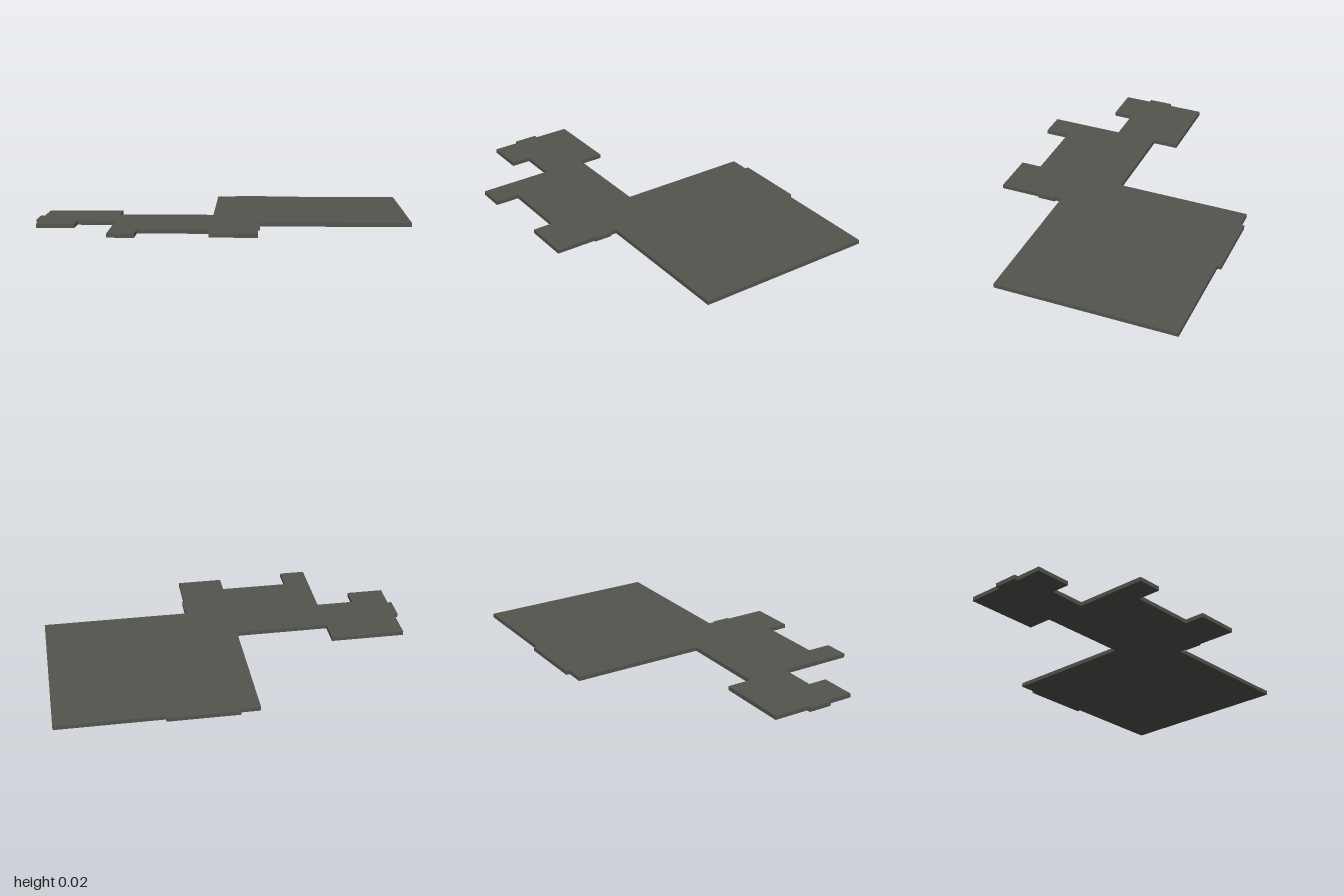
import * as THREE from 'three';

const THICKNESS = 0.022;

// Floor outline as [x, z] corners, walked around the slab from its back edge
const outline = [
  // large hall with a shallow doorstep on its back edge
  [-0.058, -0.675], [0.047, -0.675], [0.047, -0.695], [0.43, -0.695], [0.43, -0.675],
  [1, -0.675], [1, 0.315],
  // side doorstep and front right bay
  [0.19, 0.315], [0.19, 0.35], [0.2, 0.35], [0.2, 0.45], [0.19, 0.45],
  [0.19, 0.673], [-0.058, 0.673],
  // middle room and its narrow front bay
  [-0.058, 0.56], [-0.43, 0.56], [-0.43, 0.692], [-0.57, 0.692],
  // end room with a doorstep on the outer edge
  [-0.57, 0.29], [-0.775, 0.29], [-0.775, 0.396], [-0.978, 0.396],
  [-0.978, 0.25], [-1, 0.25], [-1, 0.118], [-0.978, 0.118],
  [-0.978, -0.078], [-0.57, -0.078], [-0.57, 0.06], [-0.058, 0.06],
];

export function createModel() {
  const group = new THREE.Group();
  group.name = 'floorPlan';

  const floorGrey = new THREE.MeshStandardMaterial({ color: 0x55554f });
  floorGrey.name = 'floorGrey';

  // Flat slab: drawn in plan, extruded, then laid down on y = 0
  const shape = new THREE.Shape(outline.map(([x, z]) => new THREE.Vector2(x, -z)));
  const geometry = new THREE.ExtrudeGeometry(shape, { depth: THICKNESS, bevelEnabled: false });
  geometry.rotateX(-Math.PI / 2);

  const slab = new THREE.Mesh(geometry, floorGrey);
  slab.name = 'floorSlab';
  group.add(slab);
  return group;
}
